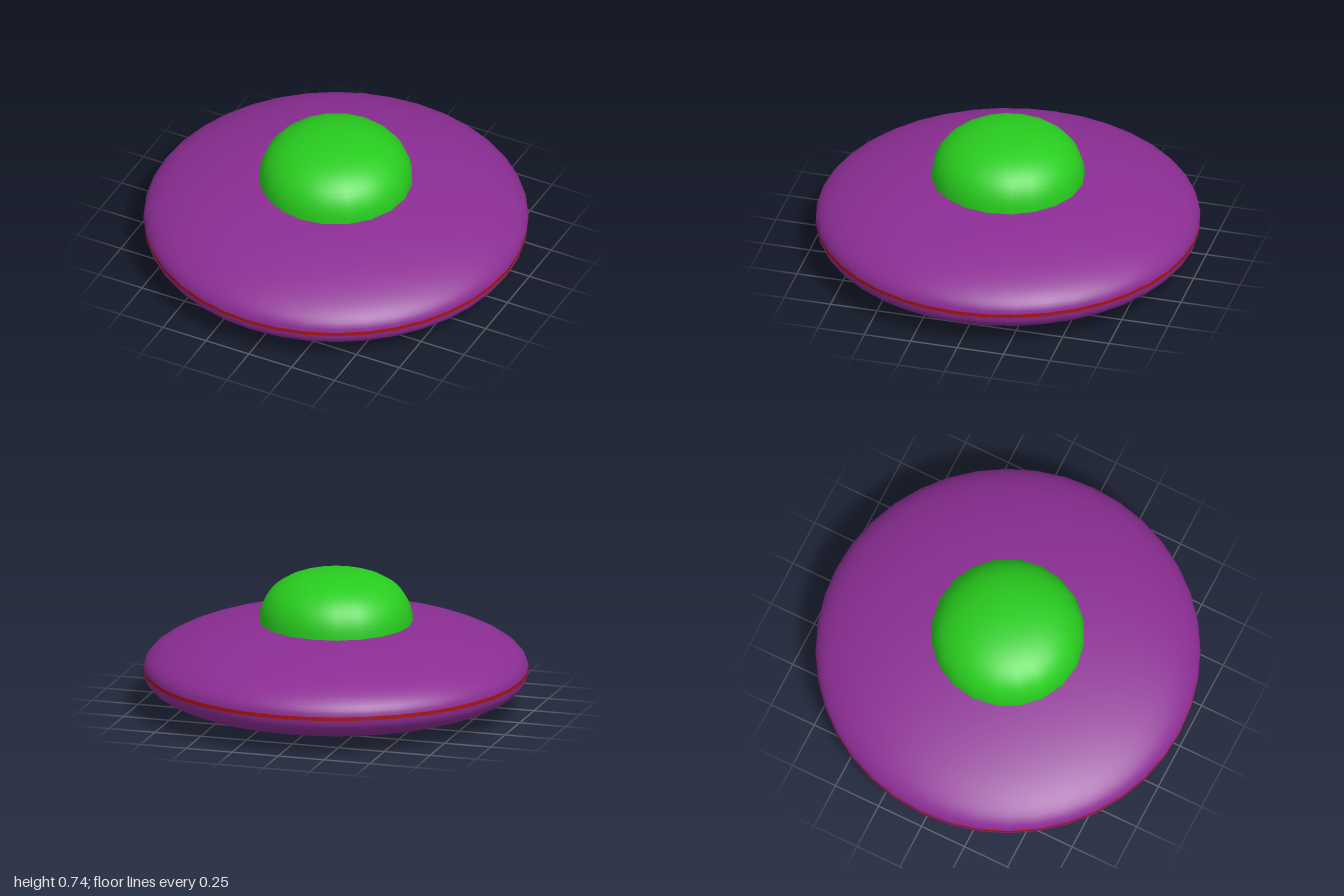
import * as THREE from 'three';

// Points along a cubic curve in (radius, height)
function profile(a, b, c, d, n) {
  const v = p => new THREE.Vector2(p[0], p[1]);
  return new THREE.CubicBezierCurve(v(a), v(b), v(c), v(d)).getPoints(n);
}

function lathe(name, points, segments, color) {
  const material = new THREE.MeshStandardMaterial({ color, side: THREE.DoubleSide });
  const mesh = new THREE.Mesh(new THREE.LatheGeometry(points, segments), material);
  mesh.name = name;
  return mesh;
}

export function createModel() {
  const group = new THREE.Group();
  group.name = 'flyingSaucer';
  const purple = 0x8c2d94, red = 0xa81212, green = 0x28cc1e;

  // Shallow underside, closed at the centre
  group.add(lathe('lowerHull', profile([0, 0], [0.6, 0], [1, 0.06], [1, 0.2], 20), 40, purple));

  // Thin band around the rim
  group.add(lathe('rimStripe', [new THREE.Vector2(1, 0.2), new THREE.Vector2(1, 0.22)], 40, red));

  // Sloping upper side, up to the foot of the dome
  group.add(lathe('upperHull', profile([1, 0.22], [1, 0.33], [0.72, 0.43], [0.39, 0.47], 20), 40, purple));

  // Rounded cockpit dome
  group.add(lathe('dome', profile([0.4, 0.468], [0.4, 0.65], [0.24, 0.735], [0, 0.735], 16), 20, green));

  return group;
}
